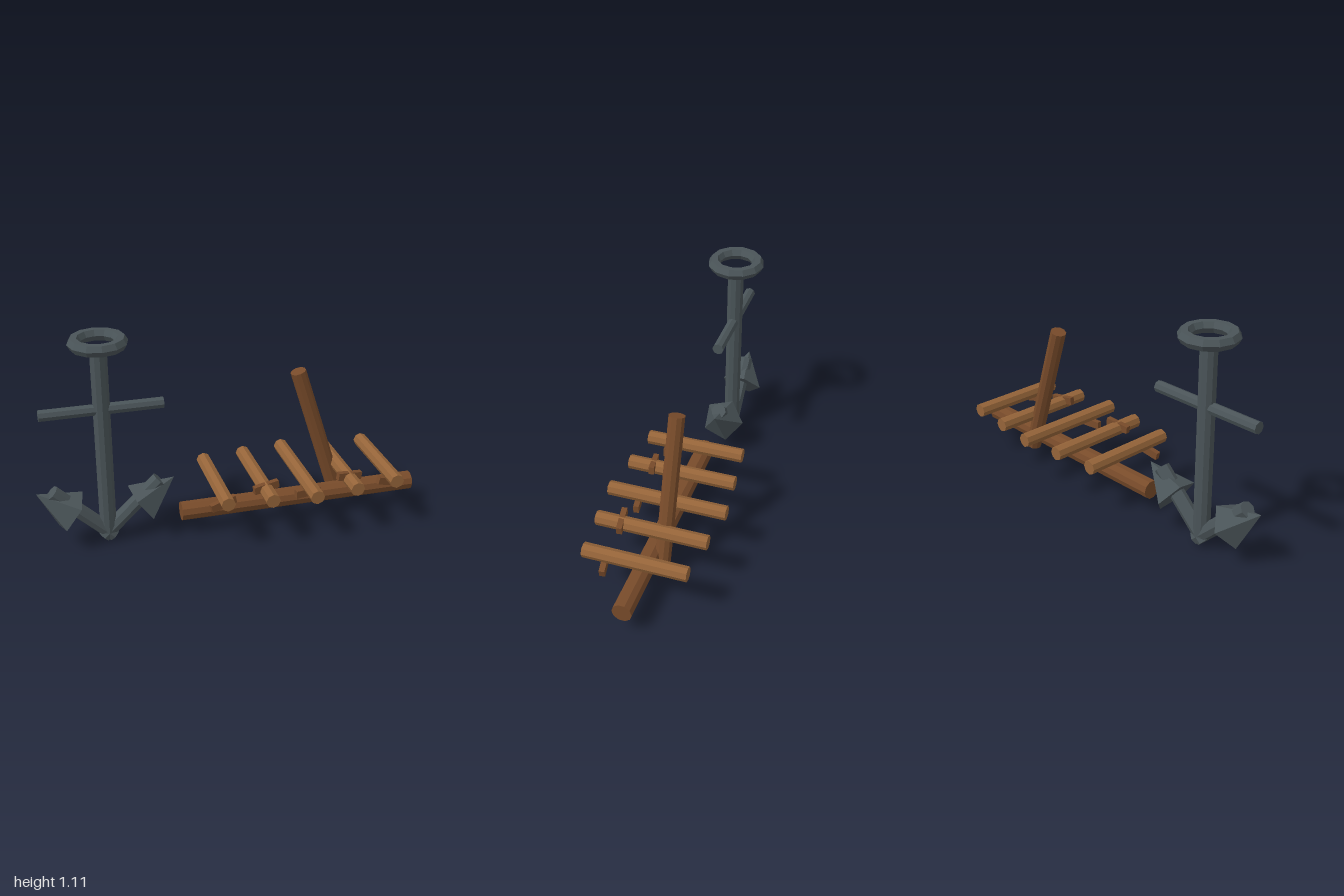
import * as THREE from 'three';

const flat = (color, name) => {
  const m = new THREE.MeshStandardMaterial({ color, flatShading: true });
  m.name = name;
  return m;
};

export function createModel() {
  const iron = flat(0x4a5458, 'dark iron');
  const darkWood = flat(0x784b2a, 'dark wood');
  const lightWood = flat(0x956439, 'light wood');
  const model = new THREE.Group();

  const add = (parent, name, geometry, material) => {
    const mesh = new THREE.Mesh(geometry, material);
    mesh.name = name;
    parent.add(mesh);
    return mesh;
  };

  // Straight bar between two points
  const UP = new THREE.Vector3(0, 1, 0);
  const bar = (parent, name, from, to, radius, sides, material, topRadius = radius, start = 0) => {
    const a = new THREE.Vector3(...from), b = new THREE.Vector3(...to);
    const length = a.distanceTo(b);
    const mesh = add(parent, name,
      new THREE.CylinderGeometry(topRadius, radius, length, sides, 1, false, start), material);
    mesh.position.copy(a).lerp(b, 0.5);
    mesh.quaternion.setFromUnitVectors(UP, b.sub(a).normalize());
    return mesh;
  };

  // Anchor
  const anchor = new THREE.Group();
  anchor.name = 'anchor';
  anchor.position.set(-0.65, 0, -0.037);
  model.add(anchor);
  bar(anchor, 'shank', [0, 0.06, 0], [0, 1.03, 0], 0.043, 10, iron);
  bar(anchor, 'stock', [-0.307, 0.742, 0], [0.307, 0.742, 0], 0.03, 8, iron);
  const ring = add(anchor, 'ring', new THREE.TorusGeometry(0.115, 0.032, 6, 12), iron);
  ring.rotation.x = Math.PI / 2;
  ring.position.y = 1.088;
  for (const s of [-1, 1]) {
    const side = s > 0 ? 'left' : 'right';
    bar(anchor, side + 'Arm', [-0.027 * s, 0.033, 0], [0.272 * s, 0.318, 0], 0.04, 8, iron);
    // five-sided pointed fluke with one corner to the back
    bar(anchor, side + 'Fluke', [0.18 * s, 0.195, 0], [0.35 * s, 0.32, 0], 0.115, 5, iron, 0, Math.PI);
  }

  // Ship wreck
  const wreck = new THREE.Group();
  wreck.name = 'wreck';
  model.add(wreck);
  bar(wreck, 'keel', [-0.275, 0.133, 0], [1, 0.133, 0], 0.05, 10, darkWood);
  bar(wreck, 'brokenMast', [0.6, 0.082, -0.055], [0.363, 0.821, -0.055], 0.041, 10, darkWood);

  // Ribs, longest in the middle, each with a loose plank
  for (let i = 0; i < 5; i++) {
    const x = -0.09 + 0.225 * i;
    const half = 0.307 - 0.0245 * Math.abs(i - 2);
    bar(wreck, 'rib', [x, 0.282, -half], [x, 0.282, half], 0.037, 8, lightWood);
    const plank = add(wreck, 'plank', new THREE.BoxGeometry(0.136, 0.04, 0.028), darkWood);
    plank.position.set(x, i % 2 ? 0.297 : 0.235, 0.153);
    plank.rotation.set(0, 0.15, [0.24, 0.12, 0, -0.12, -0.24][i]);
  }
  return model;
}
